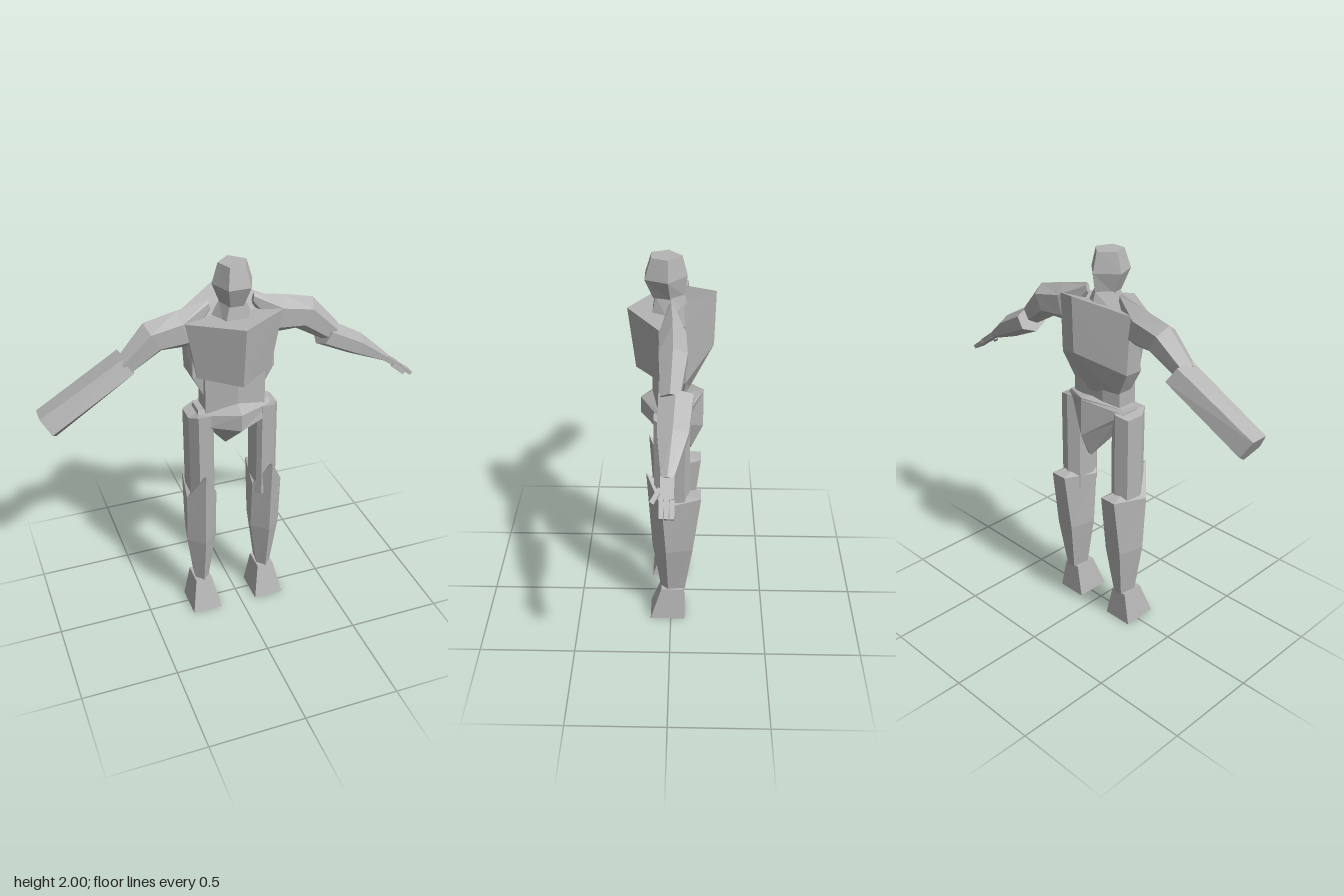
import * as THREE from 'three';

const grey = new THREE.MeshStandardMaterial({ color: 0xb4b4b4, flatShading: true });
grey.name = 'plain grey';

// Faceted solid through rings of equal point count, capped at both ends
function loft(name, rings) {
  const tris = [];
  const n = rings[0].length;
  for (let k = 0; k < rings.length - 1; k++) {
    for (let i = 0; i < n; i++) {
      const j = (i + 1) % n;
      const [a, b, c, d] = [rings[k][i], rings[k][j], rings[k + 1][j], rings[k + 1][i]];
      tris.push([a, b, c], [a, c, d]);
    }
  }
  const middle = (ring) => [0, 1, 2].map((q) => ring.reduce((s, p) => s + p[q], 0) / n);
  const first = rings[0], last = rings[rings.length - 1];
  const m0 = middle(first), m1 = middle(last);
  for (let i = 0; i < n; i++) {
    const j = (i + 1) % n;
    tris.push([m0, first[j], first[i]], [m1, last[i], last[j]]);
  }
  // Turn the faces outward when the signed volume is negative
  const v = tris.map((t) => t.map((p) => new THREE.Vector3(...p)));
  const volume = v.reduce((s, [a, b, c]) => s + a.dot(b.clone().cross(c)), 0);
  if (volume < 0) v.forEach((t) => t.reverse());
  const geo = new THREE.BufferGeometry().setFromPoints(v.flat());
  geo.computeVertexNormals();
  const mesh = new THREE.Mesh(geo, grey);
  mesh.name = name;
  return mesh;
}

// Symmetric ring from a half outline: [x, y, z], points on x = 0 are not doubled
function mirrored(half) {
  const other = half.filter((p) => p[0] !== 0).reverse().map(([x, y, z]) => [-x, y, z]);
  return half[0][0] === 0 ? [...half, ...other] : [...other, ...half];
}

// Polygon section across an arm: centre, half height, half depth, tilt in degrees
function section([x, y, z, r, rz, tilt], side, n, turn = 0) {
  const a = THREE.MathUtils.degToRad(tilt);
  return Array.from({ length: n }, (_, i) => {
    const t = (i / n) * Math.PI * 2 + turn;
    const u = Math.cos(t) * r;
    return [side * (x - Math.sin(a) * u), y + Math.cos(a) * u, z + Math.sin(t) * rz];
  });
}

export function createModel() {
  const model = new THREE.Group();
  model.name = 'figure';
  const body = new THREE.Group();
  body.name = 'body';
  body.position.x = -0.02;
  model.add(body);

  // Head and neck, five sided with a ridge at the back
  const five = (y, w, front, back) => mirrored([
    [0, y, back], [w, y, back + (front - back) * 0.45], [w * 0.55, y, front]]);
  body.add(loft('head', [
    five(1.8, 0.06, 0.085, -0.06), five(1.9, 0.1, 0.125, -0.075), five(2.0, 0.07, 0.095, -0.05)]));
  body.add(loft('neck', [five(1.68, 0.125, 0.1, -0.1), five(1.81, 0.06, 0.075, -0.06)]));

  // Chest plate with a centre crease
  body.add(loft('chest', [
    mirrored([[0, 1.42, 0.175], [0.19, 1.44, 0.05], [0.19, 1.44, -0.05]]),
    mirrored([[0, 1.735, 0.212], [0.243, 1.735, 0.055], [0.235, 1.735, -0.06]])]));

  // Ridged back, peaked at the top and tapering to the waist
  body.add(loft('back', [
    mirrored([[0, 1.31, -0.09], [0.15, 1.32, -0.05], [0.15, 1.32, 0.03]]),
    mirrored([[0, 1.545, -0.205], [0.22, 1.45, -0.07], [0.21, 1.44, 0.04]]),
    mirrored([[0, 1.825, -0.212], [0.235, 1.75, -0.065], [0.2, 1.73, 0.02]])]));

  // Waist
  body.add(loft('waist', [1.2, 1.45].map((y) => mirrored([
    [0, y, 0.095], [0.155, y, 0.06], [0.155, y, -0.05], [0.07, y, -0.08]]))));

  // Pelvis, sharpening to a point underneath
  body.add(loft('pelvis', [
    mirrored([[0, 0.95, -0.09], [0.01, 0.96, -0.09], [0.01, 0.96, -0.1], [0, 0.96, -0.1]]),
    mirrored([[0, 1.16, 0.155], [0.15, 1.17, 0.08], [0.14, 1.17, -0.07], [0, 1.085, -0.16]]),
    mirrored([[0, 1.25, 0.155], [0.19, 1.23, 0.05], [0.19, 1.23, -0.06], [0, 1.285, -0.16]]),
    mirrored([[0, 1.29, 0.09], [0.185, 1.25, 0.03], [0.185, 1.25, -0.05], [0, 1.295, -0.16]])]));

  for (const side of [-1, 1]) {
    const word = side < 0 ? 'right' : 'left';

    // Thigh
    const thigh = [[0.115, 0.06], [0.135, 0.085], [0.2, 0.085], [0.235, 0.03], [0.235, -0.07], [0.17, -0.095], [0.115, -0.06]];
    body.add(loft(word + 'Thigh', [0.7, 1.235].map((y) =>
      thigh.map(([x, z]) => [side * x, y - (x > 0.23 ? 0.02 : 0), z]))));

    // Calf, with the front ridge rising over the knee
    const shin = ([yf, ys, yb, w, front, mid, wb, back]) => [
      [0, yf, front], [w, ys, mid], [wb, yb, back], [-wb, yb, back], [-w, ys, mid],
    ].map(([x, y, z]) => [side * 0.18 + x, y, z]);
    body.add(loft(word + 'Calf', [
      shin([0.17, 0.17, 0.17, 0.038, 0.055, 0.015, 0.025, -0.075]),
      shin([0.455, 0.455, 0.455, 0.08, 0.098, 0.025, 0.05, -0.115]),
      shin([0.91, 0.745, 0.78, 0.08, 0.125, 0.045, 0.045, -0.155])]));

    // Foot
    const foot = (y, w, front, back) => [[-w, front], [w, front], [w, back], [-w, back]]
      .map(([x, z]) => [side * 0.18 + x, y, z]);
    body.add(loft(word + 'Foot', [foot(0, 0.08, 0.11, -0.075), foot(0.175, 0.045, 0.052, -0.068)]));

    // Upper arm with shoulder
    body.add(loft(word + 'UpperArm', [
      [0.11, 1.79, 0, 0.025, 0.012, -10], [0.24, 1.685, -0.01, 0.1, 0.07, -15],
      [0.385, 1.665, -0.015, 0.088, 0.075, -28], [0.53, 1.545, -0.005, 0.055, 0.05, -38],
    ].map((s) => section(s, side, 6))));
  }

  // Left forearm, tapering to the wrist
  body.add(loft('leftForearm', [
    [0.498, 1.533, -0.03, 0.068, 0.09, -30], [0.675, 1.445, -0.02, 0.06, 0.08, -31],
    [0.852, 1.338, 0, 0.02, 0.032, -32]].map((s) => section(s, 1, 6))));

  // Right forearm, a blunt prism without a hand
  body.add(loft('rightForearm', [
    [0.512, 1.545, -0.03, 0.07, 0.092, -30], [0.92, 1.305, -0.005, 0.083, 0.078, -30],
  ].map((s) => section(s, -1, 5, Math.PI / 5))));

  // Left hand: palm, fingers and thumb
  const hand = new THREE.Group();
  hand.name = 'leftHand';
  hand.position.set(0.85, 1.338, 0);
  hand.rotation.z = -0.63;
  const block = (name, size, pos, turn = 0) => {
    const mesh = new THREE.Mesh(new THREE.BoxGeometry(...size), grey);
    mesh.name = name;
    mesh.position.set(...pos);
    mesh.rotation.y = turn;
    hand.add(mesh);
  };
  block('palm', [0.1, 0.028, 0.06], [0.045, 0, 0]);
  for (let i = 0; i < 3; i++) block('finger', [0.09, 0.02, 0.02], [0.135, 0, -0.022 + i * 0.023]);
  block('thumb', [0.075, 0.02, 0.02], [0.075, -0.01, 0.048], -0.5);
  body.add(hand);

  return model;
}
